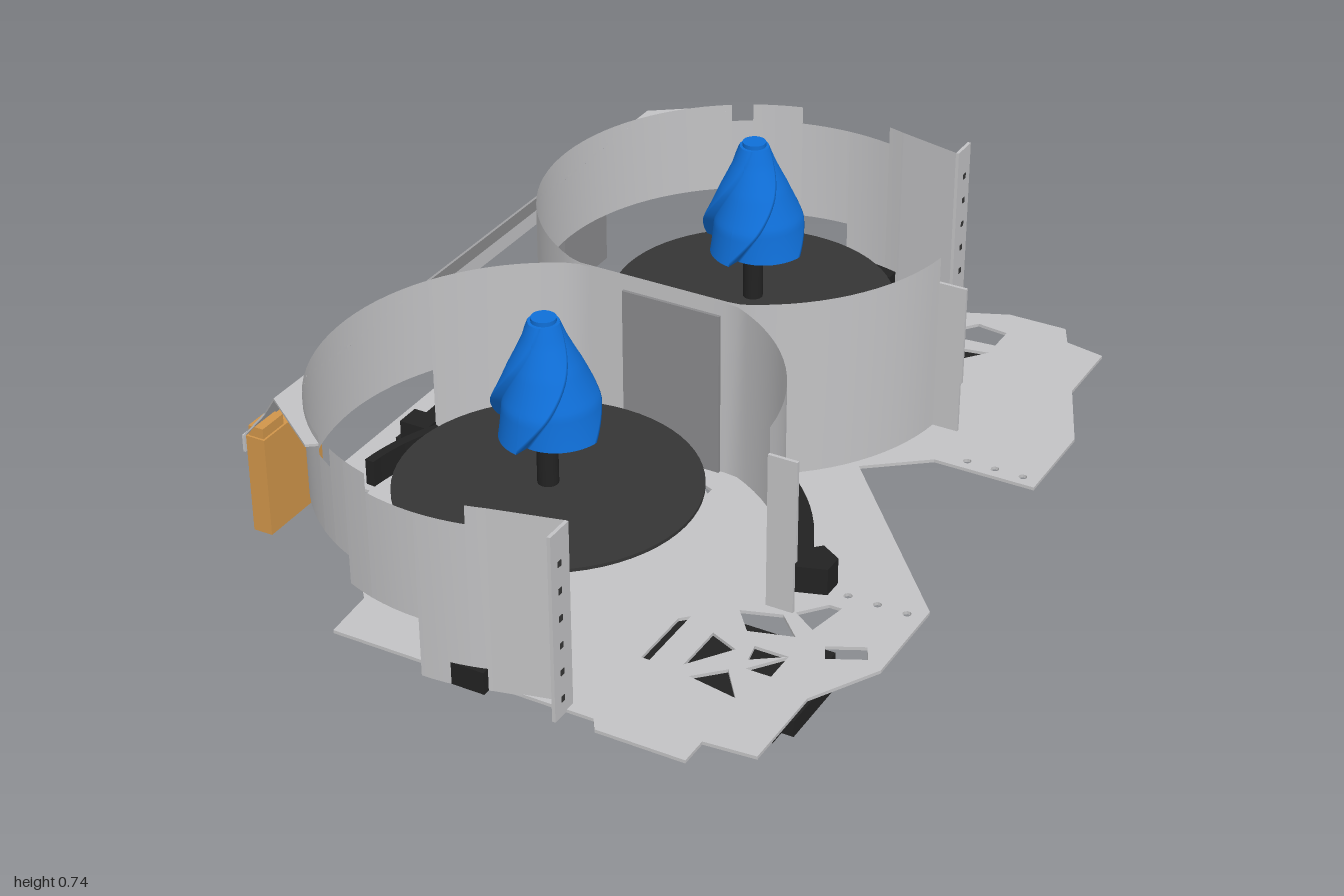
import * as THREE from 'three';

const paint = (name, color, side = THREE.FrontSide) => {
  const m = new THREE.MeshStandardMaterial({ color, side });
  m.name = name;
  return m;
};

export function createModel() {
  const model = new THREE.Group();
  const metal = paint('sheet metal', 0xc2c2c4, THREE.DoubleSide);
  const steel = paint('dark steel', 0x8a8a8c, THREE.DoubleSide);
  const charcoal = paint('charcoal', 0x353535);
  const black = paint('black plastic', 0x222222);
  const blue = paint('blue plastic', 0x0f6fd8);
  const orange = paint('orange block', 0xd0954a);
  const red = paint('red terminals', 0xd8402c);

  const CX = -0.11, CZ = 0.475, R = 0.515, FLOOR = 0.145, TOP = 0.595;
  const rad = THREE.MathUtils.degToRad;

  const add = (name, geo, mat, x = 0, y = 0, z = 0) => {
    const m = new THREE.Mesh(geo, mat);
    m.name = name;
    m.position.set(x, y, z);
    model.add(m);
    return m;
  };
  // box given by its limits
  const box = (name, mat, x0, x1, y0, y1, z0, z1) =>
    add(name, new THREE.BoxGeometry(x1 - x0, y1 - y0, Math.abs(z1 - z0)), mat,
      (x0 + x1) / 2, (y0 + y1) / 2, (z0 + z1) / 2);
  const rod = (name, mat, r, y0, y1, x, z, n = 24) =>
    add(name, new THREE.CylinderGeometry(r, r, y1 - y0, n), mat, x, (y0 + y1) / 2, z);
  // thin surface from a rule (u, v) -> [x, y, z]
  const sheet = (name, mat, n, m, rule) => {
    const g = new THREE.PlaneGeometry(1, 1, n, m), p = g.attributes.position;
    for (let i = 0; i < p.count; i++) p.setXYZ(i, ...rule(p.getX(i) + 0.5, p.getY(i) + 0.5));
    g.computeVertexNormals();
    return add(name, g, mat);
  };
  // outline in x, z extruded downwards from y
  const outline = (pts) => pts.map(([x, z]) => new THREE.Vector2(x, z));
  const slab = (name, mat, pts, y, depth, holes = []) => {
    const s = new THREE.Shape(outline(pts));
    holes.forEach((h) => s.holes.push(new THREE.Path(outline(h))));
    const g = new THREE.ExtrudeGeometry(s, { depth, bevelEnabled: false, curveSegments: 8 });
    return add(name, g.rotateX(Math.PI / 2), mat, 0, y, 0);
  };
  // point on a ring wall, flattened where the two rings meet
  const ring = (deg, s, r = R) => [CX + r * Math.cos(rad(deg)),
    s * Math.max(0.004, CZ + r * Math.sin(rad(deg)))];
  const arc = (a, b, n, s, r) => Array.from({ length: n + 1 }, (_, i) => ring(a + (b - a) * i / n, s, r));
  const band = (a, b, n, s, r0, r1) => [...arc(a, b, n, s, r0), ...arc(b, a, n, s, r1)];

  // base plate
  const dot = (x, z, r = 0.01) => Array.from({ length: 10 }, (_, i) =>
    [x + r * Math.cos(i * Math.PI / 5), z + r * Math.sin(i * Math.PI / 5)]);
  const plate = [
    [-0.14, -0.99], [0.2, -0.99], [0.21, -0.93], [0.35, -0.99], [0.5, -0.99], [0.53, -0.93], [0.63, -0.91],
    [0.63, -0.72], [0.72, -0.52], [0.72, -0.28], [0.47, -0.28], [0.33, -0.17], [0.72, 0.28], [0.72, 0.52],
    [0.63, 0.68], [0.63, 0.9], [0.51, 0.91], [0.51, 0.98], [0.3, 0.98], [0.28, 0.95], [-0.36, 0.95],
    [-0.37, 0.82], [-0.59, 0.56], [-0.6, 0.46], [-0.72, 0.46], [-0.72, -0.46], [-0.56, -0.47],
    [-0.44, -0.55], [-0.15, -0.78]];
  const holes = [
    [[-0.565, -0.235], [-0.19, -0.235], [-0.19, 0.235], [-0.565, 0.235]],
    [[0.26, -0.86], [0.3, -0.91], [0.38, -0.9], [0.38, -0.83], [0.27, -0.82]],
    [[0.27, -0.77], [0.38, -0.79], [0.3, -0.69]],
    [[0.21, -0.7], [0.25, -0.76], [0.33, -0.63], [0.27, -0.6]],
    [[-0.12, -0.83], [-0.11, -0.87], [-0.08, -0.85], [-0.09, -0.83]],
    [[0.26, 0.56], [0.28, 0.54], [0.28, 0.72], [0.26, 0.72]],
    [[0.47, 0.42], [0.52, 0.36], [0.55, 0.36], [0.53, 0.46]],
    [[0.36, 0.47], [0.45, 0.44], [0.51, 0.5], [0.41, 0.53]],
    [[0.58, 0.5], [0.66, 0.46], [0.68, 0.5], [0.6, 0.54]],
    [[0.35, 0.57], [0.42, 0.6], [0.35, 0.7]],
    [[0.45, 0.57], [0.53, 0.57], [0.46, 0.62]],
    [[0.47, 0.65], [0.53, 0.57], [0.53, 0.65]],
    [[0.38, 0.73], [0.44, 0.67], [0.5, 0.75]],
  ];
  for (const s of [-1, 1]) {
    holes.push([[0.03, 0.06 * s], [0.08, 0.08 * s], [0.08, 0.1 * s]], [[-0.02, 0.06 * s], [-0.01, 0.12 * s], [-0.05, 0.12 * s]]);
    for (const x of [0.54, 0.61, 0.68]) holes.push(dot(x, 0.31 * s));
  }
  slab('basePlate', metal, plate, FLOOR + 0.004, 0.008, holes);

  // ring wall sections: from angle, to angle, bottom, top
  const sections = [
    [72, 77, FLOOR, TOP], [77, 90, FLOOR, 0.55], [90, 104, 0.29, 0.55], [104, 112, 0.29, TOP],
    [112, 118, 0.36, TOP], [118, 124, 0.36, 0.55], [124, 208, 0.36, TOP], [208, 354, FLOOR, TOP]];

  for (const s of [-1, 1]) {
    const cz = s * CZ;
    for (const [a, b, y0, y1] of sections)
      sheet('ringWall', metal, Math.ceil((b - a) / 4), 1, (u, v) => {
        const [x, z] = ring(a + (b - a) * u, s);
        return [x, y0 + (y1 - y0) * v, z];
      });
    // straight wall end and flanges
    const [tx, tz] = ring(72, s);
    sheet('wallEnd', metal, 1, 1, (u, v) => [tx + (0.213 - tx) * u, FLOOR + 0.45 * v, tz + (s * 0.925 - tz) * u]);
    box('outerFlange', metal, 0.209, 0.217, FLOOR, TOP, s * 0.925, s * 0.995);
    box('innerFlange', metal, 0.4, 0.47, 0.28, 0.53, s * 0.418, s * 0.426);
    box('innerFlangeFoot', metal, 0.4, 0.465, FLOOR, 0.3, s * 0.418, s * 0.426);
    for (let i = 0; i < 6; i++)
      box('flangeHole', charcoal, 0.2165, 0.2185, 0.18 + i * 0.066, 0.194 + i * 0.066, s * 0.958, s * 0.97);

    // spinning disc, shaft and pulley
    rod('disc', charcoal, 0.342, 0.326, 0.334, CX, cz, 64);
    rod('shaft', black, 0.024, FLOOR, 0.48, CX, cz);
    rod('pulley', black, 0.09, 0.288, 0.322, CX, cz, 32);
    rod('shaftCollar', black, 0.04, FLOOR, 0.185, CX, cz);
    for (const [x, z] of [[-0.21, 0.62], [-0.21, 0.4], [-0.04, 0.4]]) rod('standoff', black, 0.014, FLOOR, 0.26, x, s * z, 12);
    box('bearingBar', metal, -0.235, -0.02, 0.26, 0.27, s * 0.38, s * 0.635);

    // twisted bladed cone
    const profile = [[0, 0.118], [0.3, 0.113], [0.6, 0.082], [0.85, 0.05], [1, 0.034]];
    const cone = new THREE.CylinderGeometry(1, 1, 1, 96, 28), p = cone.attributes.position;
    for (let i = 0; i < p.count; i++) {
      const t = p.getY(i) + 0.5, rr = Math.hypot(p.getX(i), p.getZ(i)), th = Math.atan2(p.getZ(i), p.getX(i));
      const k = Math.max(1, profile.findIndex(([q]) => q >= t - 1e-6));
      const [t0, r0] = profile[k - 1], [t1, r1] = profile[k];
      const turn = (((th + t * 1.9) * 4 / (2 * Math.PI)) % 1 + 1) % 1;
      const r = rr * (r0 + (r1 - r0) * (t - t0) / (t1 - t0)) * (1.06 - 0.3 * turn * (1 - t * 0.8));
      p.setXYZ(i, r * Math.cos(th), 0.47 + t * 0.265, r * Math.sin(th));
    }
    cone.computeVertexNormals();
    add('bladedCone', cone, blue, CX, 0, cz);
    rod('coneTip', blue, 0.028, 0.72, 0.745, CX, cz);

    // motor below the plate
    rod('motor', black, 0.058, 0.035, FLOOR, CX, s * 0.2);
    rod('motorCap', black, 0.035, 0.015, 0.04, CX, s * 0.2);

    // scoop sides, curved along the rings
    sheet('scoopSide', steel, 24, 4, (u, v) => {
      const [x, z] = ring(208 + 53 * u, s);
      return [x, 0.01 + 0.2 * v, s * 0.24 + (z - s * 0.24) * v];
    });

    // small wall brackets
    slab('ringBracket', black, band(152, 170, 6, s, 0.49, 0.513).map(([x, z]) => [x, 2 * cz - z]), 0.215, 0.07);
    slab('ringBracketInner', black, band(184, 203, 6, s, 0.49, 0.513), 0.215, 0.07);
    box('sideBracket', black, -0.065, 0.04, FLOOR, 0.2, s * 0.935, s * 0.985);

    // flat ear joining the sloped panel to the ring
    slab('panelEar', metal, [[-0.585, s * 0.8], [-0.42, s * 0.92], [-0.4, s * 0.905], ...arc(124, 157, 8, s)], 0.578, 0.006);
  }

  // sloped panel, cut along both rings
  const edge = arc(157, 203, 10, 1);
  const slope = slab('slopedPanel', metal, [
    [-0.725, -0.74], [-0.66, -0.74], [-0.585, -0.8], ...edge.map(([x, z]) => [x, -z]),
    ...edge.slice().reverse(), [-0.585, 0.8], [-0.66, 0.74], [-0.725, 0.74]], 0, 0.006);
  const sp = slope.geometry.attributes.position;
  for (let i = 0; i < sp.count; i++) sp.setY(i, sp.getY(i) + 0.41 + (sp.getX(i) + 0.725) * 1.2);
  slope.geometry.computeVertexNormals();
  box('panelLip', metal, -0.727, -0.721, 0.37, 0.412, -0.74, 0.74);

  // bumper blocks
  box('orangeBlock', orange, -0.72, -0.672, 0.165, 0.41, 0.53, 0.735);
  box('orangeBlockTop', orange, -0.715, -0.677, 0.4, 0.435, 0.655, 0.73);
  box('greyBlock', steel, -0.72, -0.672, 0.165, 0.37, -0.735, -0.53);

  // scoop mouth frame and centre rib
  for (const s of [-1, 1]) box('mouthPost', black, -0.645, -0.572, 0.008, 0.215, s * 0.2, s * 0.262);
  box('mouthSill', black, -0.645, -0.572, 0.003, 0.03, -0.262, 0.262);
  box('mouthHead', black, -0.66, -0.572, FLOOR, 0.165, -0.262, 0.262);
  box('centreRib', steel, -0.19, 0.06, FLOOR, 0.56, -0.012, 0.012);

  // curved guide on the plate
  slab('curvedGuide', black, band(-57, -17, 12, 1, 0.525, 0.58), 0.215, 0.07);
  slab('guideFoot', black, [[0.4, 0.3], [0.45, 0.25], [0.5, 0.28], [0.5, 0.33], [0.41, 0.36]], 0.215, 0.07);

  // control box under the plate
  box('controlBox', black, 0.04, 0.4, 0.09, FLOOR - 0.004, -0.81, -0.42);
  box('controlBoxCover', charcoal, 0.08, 0.36, 0.078, 0.09, -0.76, -0.48);
  for (let i = 0; i < 4; i++) box('controlPort', black, 0.09 + i * 0.07, 0.13 + i * 0.07, 0.065, 0.08, -0.79, -0.765);

  // power panel with two rows of terminals
  box('powerPanel', black, -0.02, 0.605, 0.095, FLOOR - 0.004, 0.5, 0.785);
  box('powerPanelCore', charcoal, 0.06, 0.55, 0.06, 0.1, 0.585, 0.695);
  for (const x of [-0.03, 0.56]) box('powerPanelEnd', black, x, x + 0.07, x < 0 ? 0.05 : 0.09, 0.13, 0.54, 0.74);
  for (const z of [0.55, 0.735]) {
    box('terminalStrip', black, 0.06, 0.555, 0.065, 0.1, z - 0.035, z + 0.035);
    for (let i = 0; i < 12; i++) {
      const x = 0.068 + i * 0.041;
      box('terminal', red, x, x + 0.026, 0.061, 0.112, z - 0.04, z + 0.055);
    }
  }
  return model;
}
